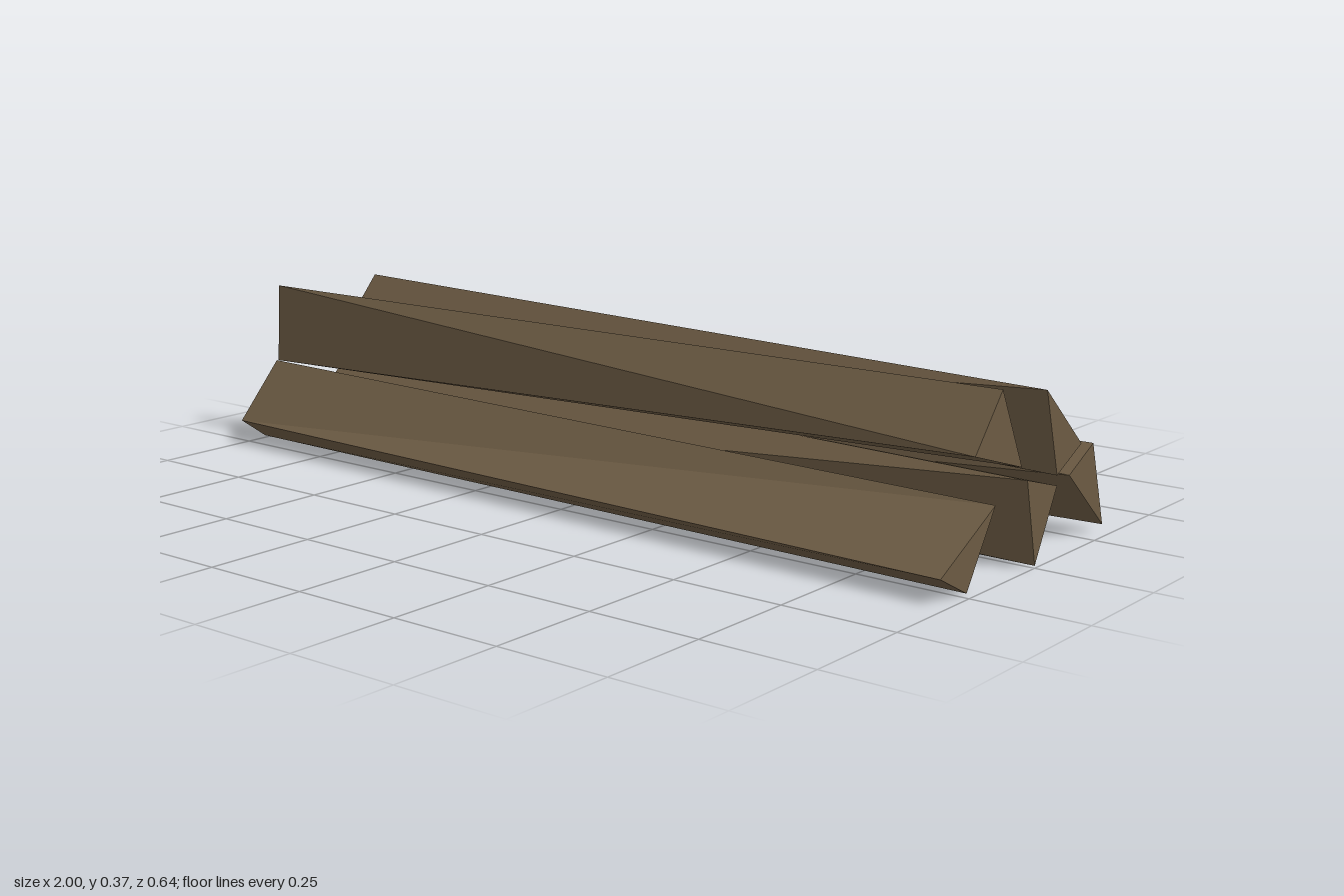
import * as THREE from 'three';

// Each beam is a twisted three-sided prism along x.
// right / left: the [z, y] corners of the +x and -x ends;
// flip: side panels whose diagonal runs the other way.
const beams = [
  { name: 'upperFrontBeam', x: [-0.99, 0.98],
    right: [[0.21, 0.26], [0.115, 0.372], [0.03, 0.205]],
    left: [[0.155, 0.187], [0.145, 0.37], [0.065, 0.213]] },
  { name: 'lowerFrontBeam', x: [-1, 0.98], flip: [true, false, true],
    right: [[0.322, 0.05], [0.127, 0.15], [0.225, 0]],
    left: [[0.27, 0.055], [0.152, 0.185], [0.198, 0.005]] },
  { name: 'lowerMiddleBeam', x: [-0.98, 1],
    right: [[0.043, 0.185], [-0.078, 0.15], [0, 0.005]],
    left: [[0.068, 0.05], [-0.085, 0.185], [-0.028, 0.005]] },
  { name: 'upperBackBeam', x: [-1, 0.98],
    right: [[-0.06, 0.342], [-0.213, 0.207], [-0.115, 0.16]],
    left: [[-0.067, 0.22], [-0.187, 0.355], [-0.15, 0.19]] },
  { name: 'lowerBackBeam', x: [-1, 0.98],
    right: [[-0.167, 0.15], [-0.265, 0.198], [-0.322, 0.015]],
    left: [[-0.193, 0.015], [-0.24, 0.198], [-0.313, 0.15]] },
];

function beamGeometry({ x, right, left, flip = [] }) {
  const corners = [
    ...right.map(([z, y]) => [x[1], y, z]),
    ...left.map(([z, y]) => [x[0], y, z]),
  ];
  // End caps
  const faces = [[0, 2, 1], [3, 4, 5]];
  // Side panels, two triangles each
  for (let i = 0; i < 3; i++) {
    const j = (i + 1) % 3;
    if (flip[i]) faces.push([i, j, i + 3], [j, j + 3, i + 3]);
    else faces.push([i, j, j + 3], [i, j + 3, i + 3]);
  }
  const positions = faces.flat().flatMap((k) => corners[k]);
  const geometry = new THREE.BufferGeometry();
  geometry.setAttribute('position', new THREE.Float32BufferAttribute(positions, 3));
  geometry.computeVertexNormals();
  return geometry;
}

export function createModel() {
  const group = new THREE.Group();
  group.name = 'beamStack';
  const wood = new THREE.MeshStandardMaterial({ color: 0x6b5a43 });
  wood.name = 'brown wood';
  for (const beam of beams) {
    const mesh = new THREE.Mesh(beamGeometry(beam), wood);
    mesh.name = beam.name;
    group.add(mesh);
  }
  return group;
}
